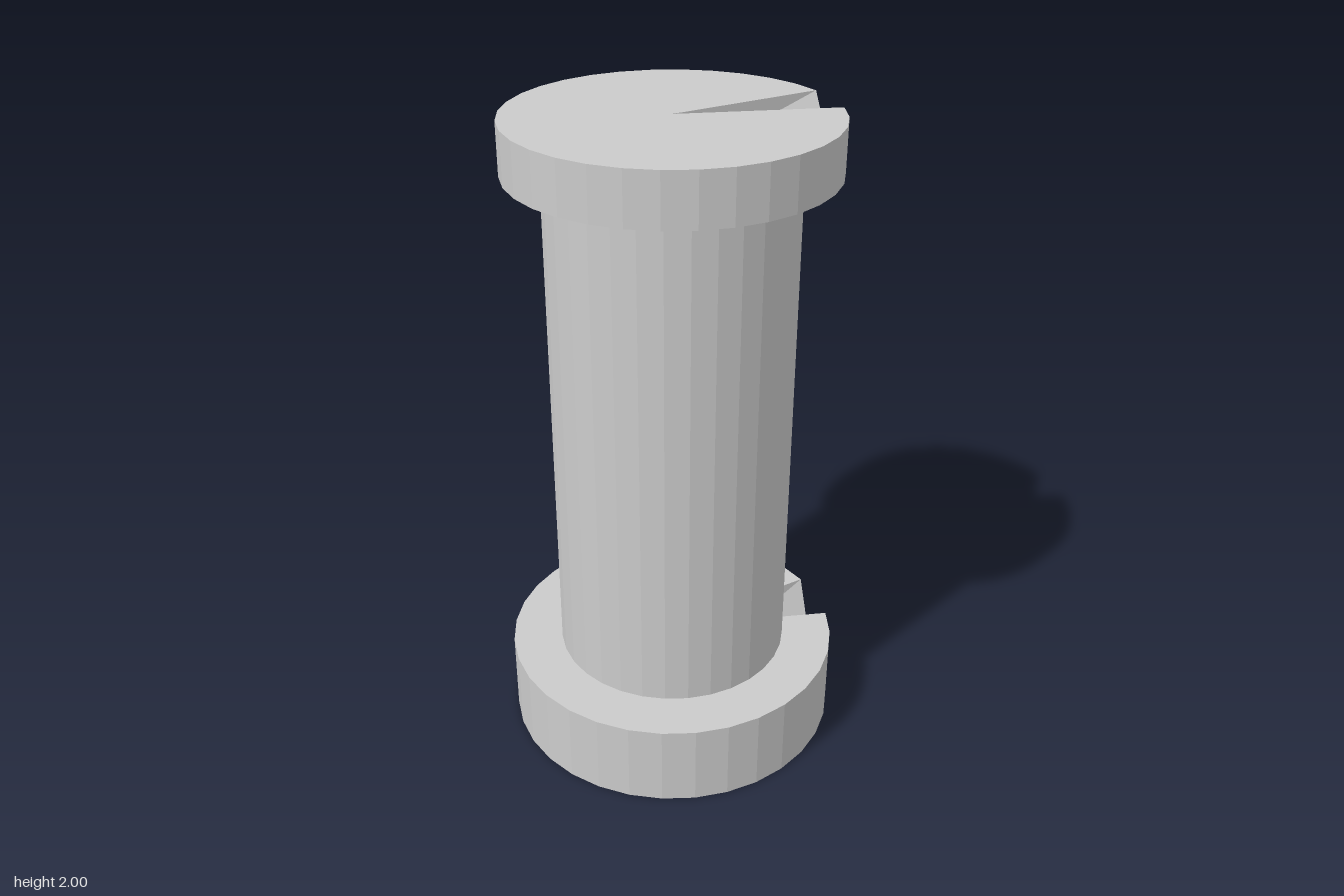
import * as THREE from 'three';

const SIDES = 32;
const material = new THREE.MeshStandardMaterial({
  color: 0xcccccc, flatShading: true, side: THREE.DoubleSide,
});

// Closed drum with a slanted wedge notch: the top cap lacks its first two
// sectors, the wall lacks one and a half, and the bottom cap is whole.
function notchedDrum(name, radius, y0, y1) {
  const points = [];
  const tri = (...corners) => corners.forEach((p) => points.push(...p));
  const rim = (i, y) => {
    const a = (i / SIDES) * Math.PI * 2;
    return [radius * Math.cos(a), y, -radius * Math.sin(a)];
  };
  const low = [0, y0, 0], high = [0, y1, 0];

  for (let i = 0; i < SIDES; i++) {
    const a = rim(i, y0), b = rim(i + 1, y0);
    const c = rim(i + 1, y1), d = rim(i, y1);
    tri(low, b, a);                // bottom cap, also the notch floor
    if (i >= 1) tri(a, b, c);      // wall
    if (i >= 2) {
      tri(a, c, d);
      tri(high, d, c);             // top cap
    }
  }

  // Notch: straight wall on one side, slanted ramp and inner wall on the other
  tri(low, high, rim(0, y1));
  tri(low, rim(0, y1), rim(0, y0));
  tri(low, rim(1, y0), rim(2, y1));
  tri(low, rim(2, y1), high);

  const geometry = new THREE.BufferGeometry();
  geometry.setAttribute('position', new THREE.Float32BufferAttribute(points, 3));
  geometry.computeVertexNormals();
  const mesh = new THREE.Mesh(geometry, material);
  mesh.name = name;
  return mesh;
}

export function createModel() {
  const group = new THREE.Group();
  group.name = 'notchedColumn';
  group.add(
    notchedDrum('base', 0.526, 0, 0.265),
    notchedDrum('shaft', 0.367, 0.265, 1.845),
    notchedDrum('topDisc', 0.478, 1.845, 2),
  );
  return group;
}
